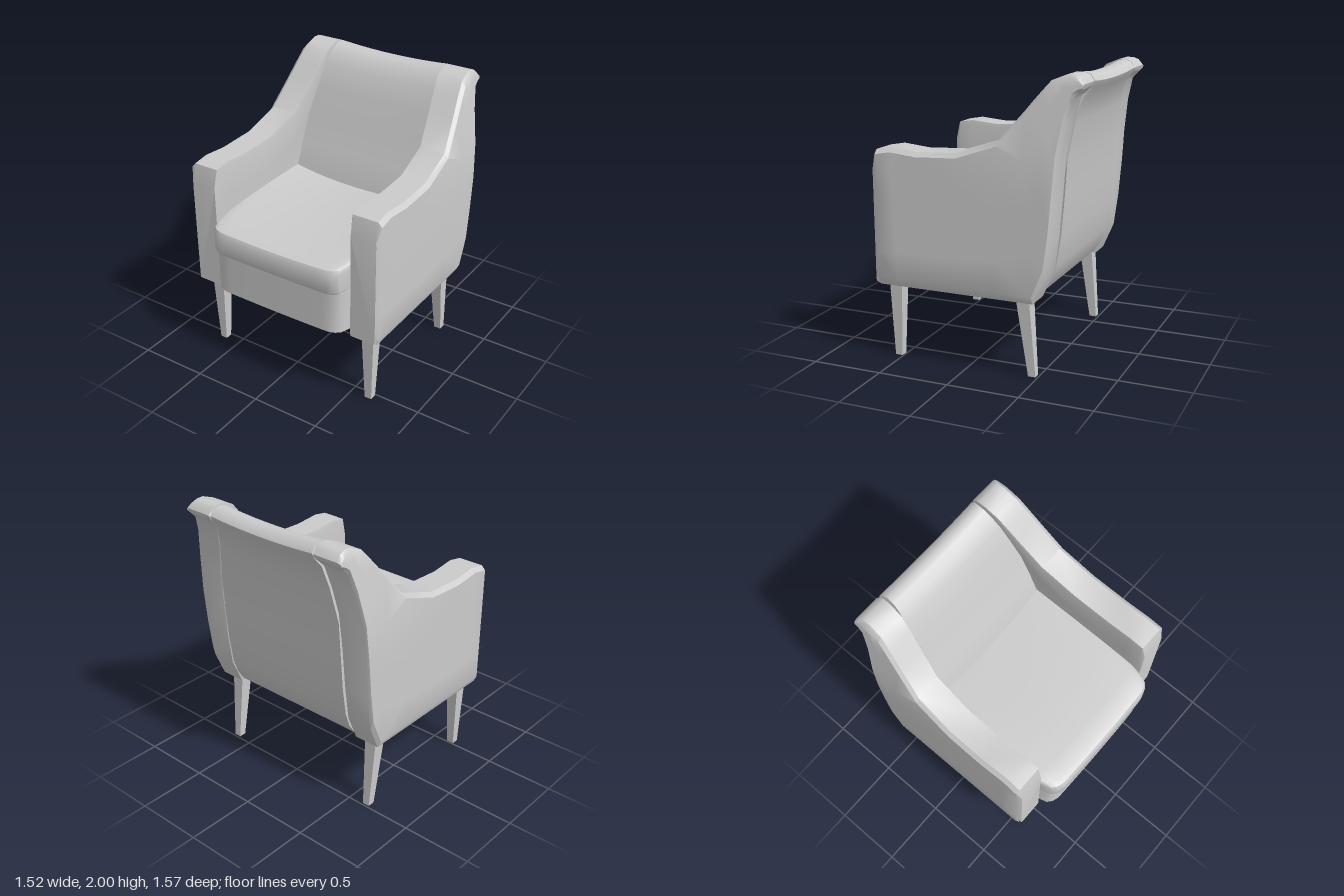
import * as THREE from 'three';
import { toCreasedNormals } from 'three/addons/utils/BufferGeometryUtils.js';

const material = new THREE.MeshStandardMaterial({ color: 0xcccccc });
const CREASE = THREE.MathUtils.degToRad(38);

// The upper part of the arms and back narrows toward the top.
const lean = (y) => 0.1 * THREE.MathUtils.clamp((y - 1.43) / 0.57, 0, 1);

function addMesh(parent, name, geometry) {
  const mesh = new THREE.Mesh(toCreasedNormals(geometry, CREASE), material);
  mesh.name = name;
  parent.add(mesh);
  return mesh;
}

function moveVertices(geometry, rule) {
  const pos = geometry.attributes.position;
  const v = new THREE.Vector3();
  for (let i = 0; i < pos.count; i++) {
    rule(v.fromBufferAttribute(pos, i));
    pos.setXYZ(i, v.x, v.y, v.z);
  }
  return geometry;
}

// Extrude a (z, y) profile across x from -1 to 1, then shape it by a rule.
function acrossX(profile, rule) {
  const shape = new THREE.Shape(profile.map(([z, y]) => new THREE.Vector2(z, y)));
  const geometry = new THREE.ExtrudeGeometry(shape, { depth: 2, steps: 20, bevelEnabled: false });
  geometry.translate(0, 0, -1).rotateY(-Math.PI / 2);
  return moveVertices(geometry, (v) => {
    v.x = Math.sin((v.x * Math.PI) / 2); // closer stations near the ends
    rule(v);
  });
}

// Skin a list of rings, closing both ends.
function loft(rings, flip) {
  const n = rings[0].length;
  const index = [];
  const tri = (a, b, c) => (flip ? index.push(a, c, b) : index.push(a, b, c));
  for (let i = 0; i < rings.length - 1; i++) {
    for (let j = 0; j < n; j++) {
      const a = i * n + j, b = i * n + ((j + 1) % n);
      tri(a, a + n, b);
      tri(b, a + n, b + n);
    }
  }
  const last = (rings.length - 1) * n;
  for (let j = 1; j < n - 1; j++) {
    tri(0, j, j + 1);
    tri(last, last + j + 1, last + j);
  }
  const geometry = new THREE.BufferGeometry();
  geometry.setAttribute('position', new THREE.Float32BufferAttribute(rings.flat(2), 3));
  geometry.setIndex(index);
  return geometry;
}

// Arm stations from front to back: lower/rear point (z, y), upper/front point (z, y).
const ARM = [
  [0.655, 0.55, 0.66, 1.33],
  [0.62, 0.53, 0.63, 1.46],
  [0.48, 0.53, 0.52, 1.48],
  [0.28, 0.53, 0.33, 1.462],
  [0.0, 0.53, 0.04, 1.475],
  [-0.24, 0.53, -0.24, 1.57],
  [-0.49, 0.53, -0.41, 1.77],
  [-0.57, 0.72, -0.45, 1.82],
  [-0.6, 0.95, -0.5, 1.88],
  [-0.62, 1.2, -0.57, 1.96],
  [-0.635, 1.45, -0.62, 1.98],
  [-0.67, 1.69, -0.67, 2.0],
  [-0.71, 1.85, -0.72, 1.998],
  [-0.75, 1.89, -0.755, 1.985],
  [-0.775, 1.915, -0.785, 1.945],
];

function armGeometry(side) {
  const rings = ARM.map(([az, ay, bz, by], i) => {
    const length = Math.hypot(bz - az, by - ay);
    const low = Math.min(0.05 / length, 0.25);
    const high = 1 - Math.min(0.03 / length, 0.25);
    const inset = i === 0 ? 0.022 : 0;
    const point = (x, t) => {
      const y = ay + (by - ay) * t;
      return [side * (x - lean(y)), y, az + (bz - az) * t];
    };
    const steps = [low, 0.25, 0.5, 0.75, high].map((t) => THREE.MathUtils.clamp(t, low, high));
    return [
      point(0.736, 0),
      ...steps.map((t) => point(0.76 - inset, t)),
      point(0.736, 1),
      point(0.55, 1),
      ...steps.reverse().map((t) => point(0.54 + inset * 0.4, t)),
      point(0.55, 0),
    ];
  });
  return loft(rings, side < 0);
}

// Tapered square leg; the foot may be set back from the top.
function legGeometry(topX, topZ, footX, footZ) {
  const geometry = new THREE.BoxGeometry(1, 0.56, 1).translate(0, 0.28, 0);
  return moveVertices(geometry, (v) => {
    const top = v.y > 0.1;
    v.x = (top ? topX : footX) + v.x * (top ? 0.095 : 0.052);
    v.z = (top ? topZ : footZ) + v.z * (top ? 0.095 : 0.052);
  });
}

// Pull the front corners of the seat and base back into a rounded plan.
function roundFront(v) {
  const a = Math.abs(v.x);
  const { lerp, clamp } = THREE.MathUtils;
  let back = 0.008 * a * a;
  back = lerp(back, 0.03, clamp((a - 0.8) / 0.14, 0, 1));
  back = lerp(back, 0.14, clamp((a - 0.94) / 0.06, 0, 1));
  if (v.z > 0) v.z *= 1 - back / 0.78;
}

export function createModel() {
  const chair = new THREE.Group();
  chair.name = 'armchair';

  for (const side of [1, -1]) {
    const label = side > 0 ? 'left' : 'right';
    addMesh(chair, `${label}Arm`, armGeometry(side));
    addMesh(chair, `${label}FrontLeg`, legGeometry(side * 0.638, 0.535, side * 0.638, 0.535));
    addMesh(chair, `${label}BackLeg`, legGeometry(side * 0.638, -0.395, side * 0.638, -0.458));
  }

  // Backrest with a rolled top and a slight dip in the middle.
  const back = [
    [-0.49, 0.56], [-0.3, 0.62], [-0.25, 0.95], [-0.27, 1.1], [-0.35, 1.3], [-0.42, 1.5],
    [-0.49, 1.72], [-0.55, 1.87], [-0.61, 1.955], [-0.66, 1.99], [-0.71, 2.0], [-0.755, 1.985],
    [-0.783, 1.945], [-0.765, 1.905], [-0.715, 1.84], [-0.675, 1.69], [-0.64, 1.45],
    [-0.625, 1.2], [-0.605, 0.95], [-0.575, 0.74], [-0.54, 0.64],
  ];
  addMesh(chair, 'backrest', acrossX(back, (v) => {
    const u = v.x;
    v.x *= 0.532 - lean(v.y);
    v.y -= 0.2 * lean(v.y) * (1 - u * u);
  }));

  // Seat cushion, sunken toward the middle of its rear edge.
  const seat = [
    [-0.3, 0.9], [0.77, 0.9], [0.782, 0.92], [0.785, 1.04], [0.77, 1.07], [0.73, 1.084],
    [0.62, 1.092], [0.4, 1.097], [0.15, 1.097], [-0.1, 1.094], [-0.3, 1.09],
  ];
  addMesh(chair, 'seatCushion', acrossX(seat, (v) => {
    if (v.y > 1.03) v.y += v.x * v.x * (0.012 + 0.026 * (0.78 - v.z));
    roundFront(v);
    v.x *= 0.536;
  }));

  // Seat base below the cushion.
  const base = [[-0.5, 0.59], [0.75, 0.59], [0.75, 0.89], [-0.5, 0.89]];
  addMesh(chair, 'seatBase', acrossX(base, (v) => {
    roundFront(v);
    v.x *= 0.536;
  }));

  return chair;
}
